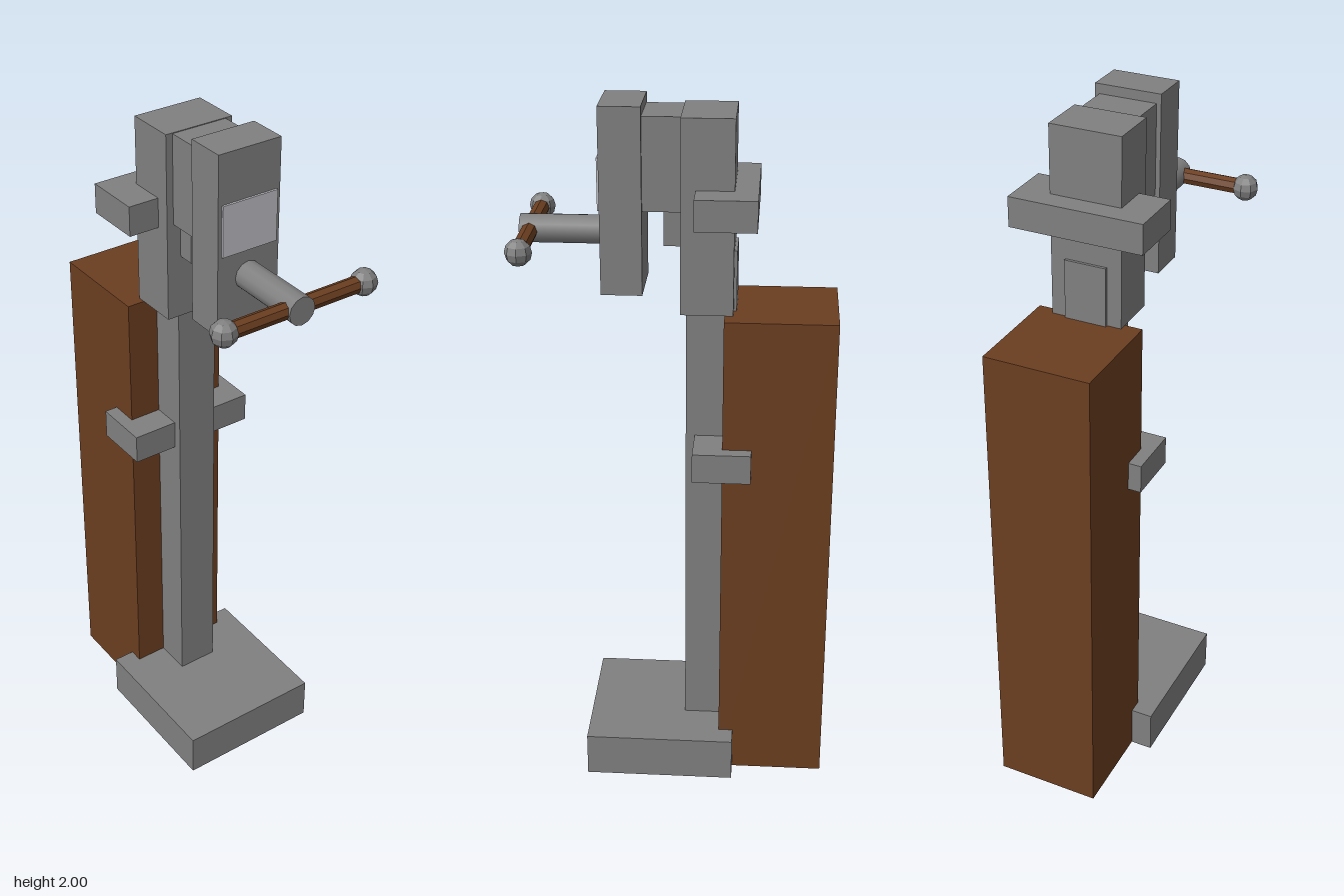
import * as THREE from 'three';

const iron = new THREE.MeshStandardMaterial({ color: 0x808080 });
iron.name = 'iron grey';
const wood = new THREE.MeshStandardMaterial({ color: 0x6b3e20 });
wood.name = 'brown wood';
const steel = new THREE.MeshStandardMaterial({ color: 0xc0c0c6 });
steel.name = 'bright steel';

// Faceted copy of a geometry
function faceted(geometry) {
  const flat = geometry.toNonIndexed();
  flat.computeVertexNormals();
  return flat;
}

export function createModel() {
  const model = new THREE.Group();
  model.name = 'legVise';

  const add = (name, geometry, material, x, y, z) => {
    const mesh = new THREE.Mesh(geometry, material);
    mesh.name = name;
    mesh.position.set(x, y, z);
    model.add(mesh);
    return mesh;
  };
  // Box centred on x, given its half width and its y and z ranges
  const block = (name, material, half, y0, y1, z0, z1) =>
    add(name, new THREE.BoxGeometry(half * 2, y1 - y0, z1 - z0), material,
      0, (y0 + y1) / 2, (z0 + z1) / 2);

  // Stand
  block('footPlate', iron, 0.216, 0, 0.13, -0.174, 0.26);
  block('woodenPost', wood, 0.153, 0, 1.44, -0.441, -0.132);
  block('ironLeg', iron, 0.06, 0.1, 1.61, -0.163, -0.025);
  block('lowerBracket', iron, 0.191, 0.98, 1.065, -0.213, -0.05);
  block('upperBracket', iron, 0.191, 1.70, 1.785, -0.218, -0.052);

  // Jaws and slide
  block('rearJaw', iron, 0.102, 1.44, 1.975, -0.155, -0.012);
  block('slide', iron, 0.082, 1.72, 1.973, -0.02, 0.095);
  block('screwNut', iron, 0.06, 1.62, 1.73, -0.02, 0.036);
  block('frontJaw', iron, 0.095, 1.49, 2.0, 0.091, 0.204);
  block('jawPlate', steel, 0.084, 1.72, 1.863, 0.203, 0.21);

  // Screw with its turning bar
  const screw = add('screw', new THREE.CylinderGeometry(0.04, 0.04, 0.23, 12), iron, 0, 1.645, 0.314);
  screw.rotation.x = Math.PI / 2;
  const bar = add('turningBar', faceted(new THREE.CylinderGeometry(0.023, 0.023, 0.43, 8)), wood, 0, 1.645, 0.402);
  bar.rotation.z = Math.PI / 2;
  for (const side of [-1, 1]) {
    add(side > 0 ? 'leftKnob' : 'rightKnob', faceted(new THREE.SphereGeometry(0.037, 8, 6)), iron,
      side * 0.218, 1.645, 0.402);
  }

  return model;
}
